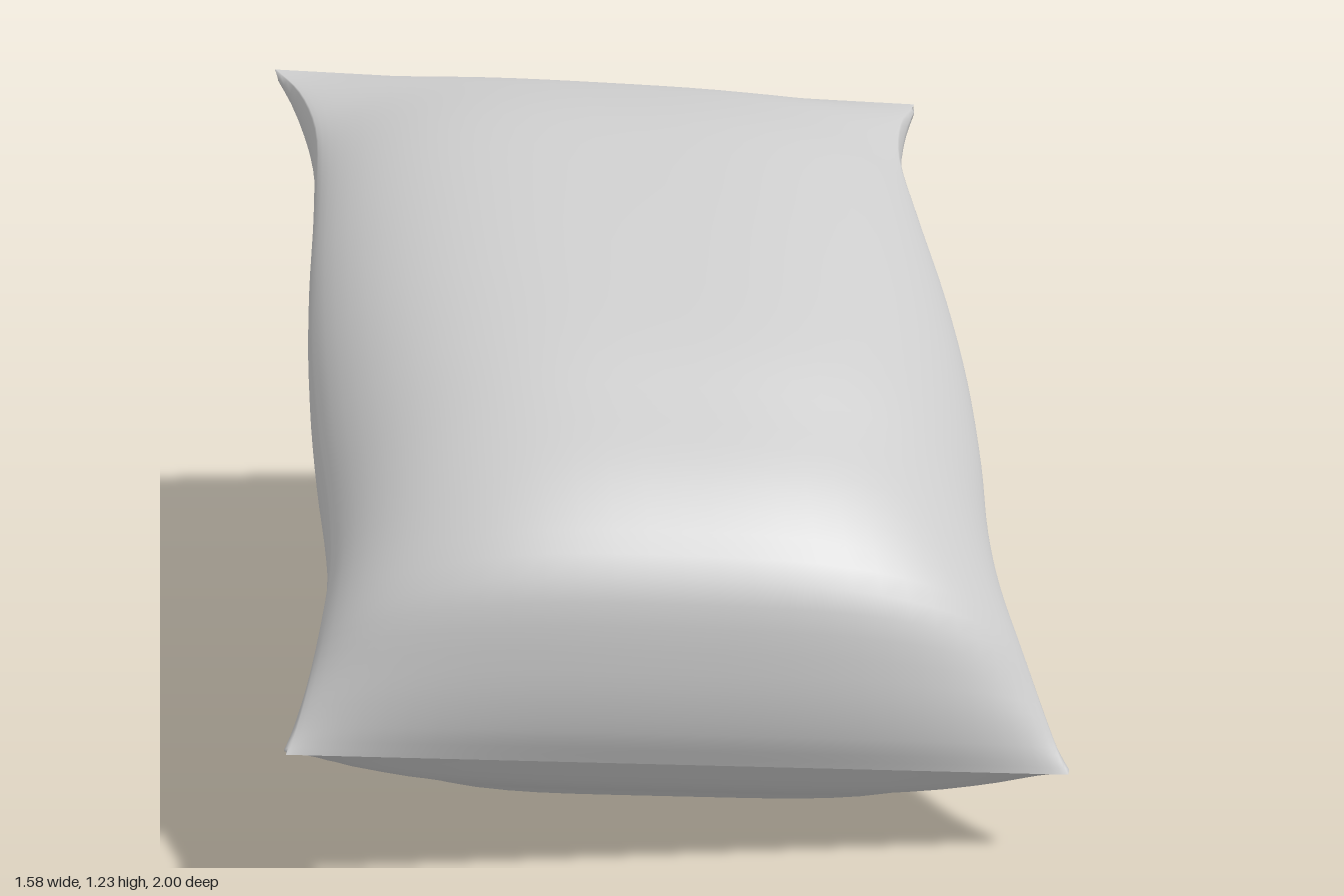
import * as THREE from 'three';

// Lengthwise curves as [z, y] (centre of each side) and [z, y, half width] (side ridge)
const TOP = [[.965, .245], [.99, .32], [1, .45], [.97, .63], [.83, .775], [.64, .88], [.47, .965],
  [.22, 1.05], [-.1, 1.14], [-.44, 1.205], [-.73, 1.205], [-.88, 1.185], [-.985, 1.15]];
const BOTTOM = [[.965, .245], [.88, .16], [.77, .1], [.68, .05], [.58, .02], [.39, .07], [.22, .18],
  [.05, .285], [-.14, .38], [-.4, .51], [-.69, .68], [-.87, .9], [-.985, 1.15]];
const RIDGE = [[.965, .245, .769], [.94, .29, .75], [.9, .36, .725], [.83, .44, .7], [.7, .53, .675],
  [.55, .6, .675], [.38, .69, .69], [.15, .8, .7], [-.1, .91, .695], [-.4, 1.02, .68],
  [-.65, 1.09, .68], [-.84, 1.13, .715], [-.985, 1.15, .77]];

const curve = (rows) => new THREE.CatmullRomCurve3(rows.map(([z, y, w = 0]) => new THREE.Vector3(w, y, z)));

// Closed sleeve: each ring runs over the top and back underneath, and both ends pinch flat
function pillowGeometry() {
  const around = 64, along = 48;
  const ridge = curve(RIDGE);
  const top = { centre: curve(TOP), power: 3, round: 0.75, belly: 0 };
  const bottom = { centre: curve(BOTTOM), power: 5, round: 0.6, belly: 0.16 };
  const positions = [], index = [];
  for (let j = 0; j <= along; j++) {
    const e = ridge.getPoint(j / along);
    for (let i = 0; i < around; i++) {
      const side = i < around / 2 ? top : bottom;
      const c = side.centre.getPoint(j / along);
      const s = Math.cos((i / around) * Math.PI * 2);
      // fullness across the width: none at the ridges, most at the centre
      const puff = Math.pow(Math.max(0, 1 - Math.abs(s) ** side.power), side.round);
      // side walls below the ridge swell outward a little, except at the pinched ends
      const swell = j % along ? side.belly * puff * (1 - puff) : 0;
      const x = s * e.x * (1 + swell);
      const y = e.y + (c.y - e.y) * puff;
      const z = e.z + (c.z - e.z) * puff;
      // slight roll and twist of the whole cushion
      positions.push(x - 0.017 * z, y - 0.085 * x, z - 0.02 * x);
      if (j < along) {
        const a = j * around + i, b = j * around + (i + 1) % around;
        index.push(a, a + around, b, b, a + around, b + around);
      }
    }
  }
  const geo = new THREE.BufferGeometry();
  geo.setAttribute('position', new THREE.Float32BufferAttribute(positions, 3));
  geo.setIndex(index);
  geo.computeVertexNormals();
  return geo;
}

export function createModel() {
  const group = new THREE.Group();
  group.name = 'pillow';
  const fabric = new THREE.MeshStandardMaterial({ color: 0xcccccc, side: THREE.DoubleSide });
  const cover = new THREE.Mesh(pillowGeometry(), fabric);
  cover.name = 'pillowCover';
  group.add(cover);
  // rest on the ground, centred
  const box = new THREE.Box3().setFromObject(group, true);
  const mid = box.getCenter(new THREE.Vector3());
  group.position.set(-mid.x, -box.min.y, -mid.z);
  return group;
}
